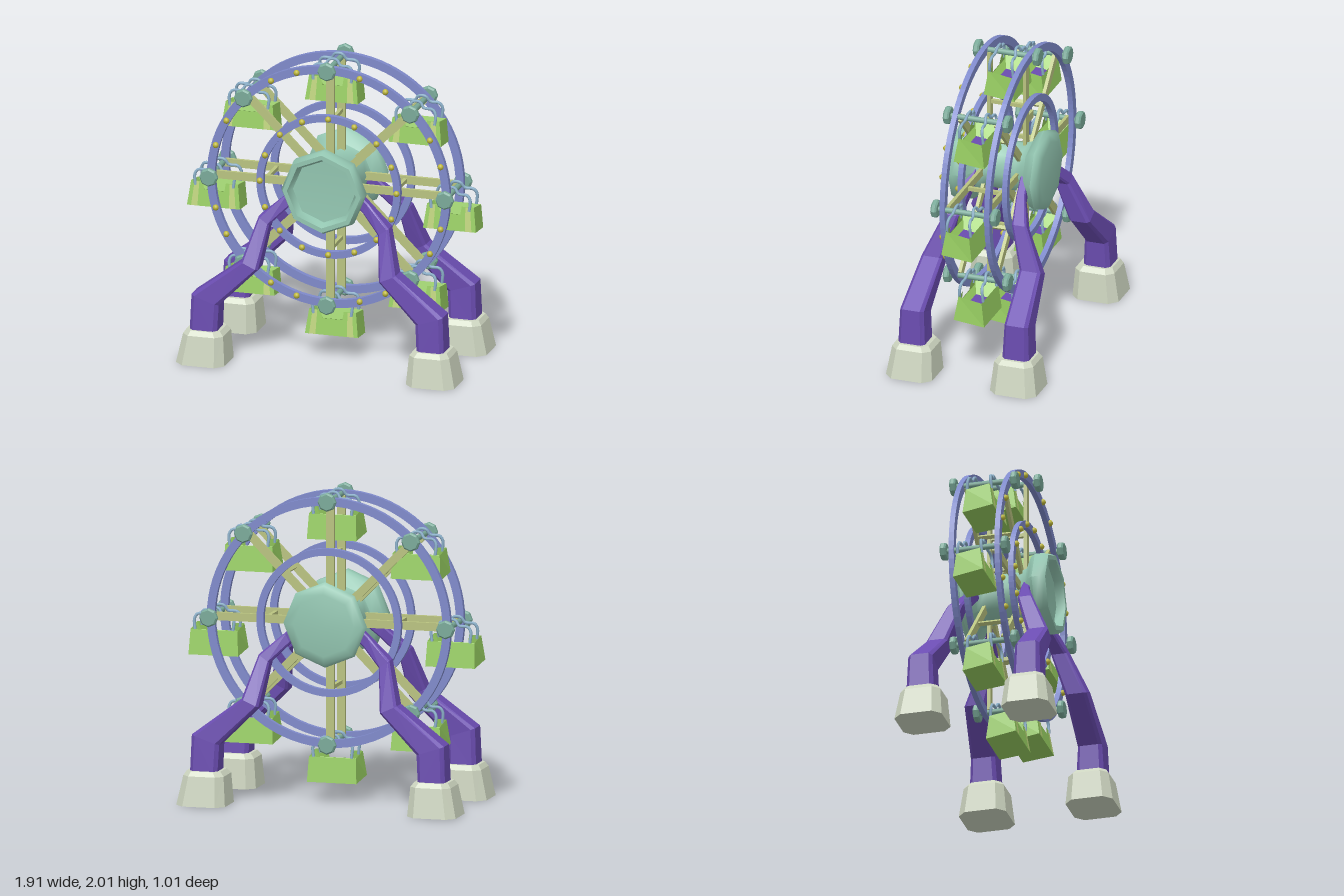
import * as THREE from 'three';
import { toCreasedNormals } from 'three/addons/utils/BufferGeometryUtils.js';

const V = (x, y, z) => new THREE.Vector3(x, y, z);
const CY = 1.165, R = 0.78;

function makeMaterials() {
  const colors = {
    ringBlue: 0x7f8acb, legPurple: 0x6a4cb0, hubTeal: 0x93c6b1, capTeal: 0x7aaa99, spokeOlive: 0xb9c380,
    bulbYellow: 0xbfb93a, footStone: 0xcdd5c0, hangerBlue: 0x8db2cc, cabinGreen: 0x96cc60, stripeLime: 0xbdd27c,
  };
  const m = {};
  for (const [name, color] of Object.entries(colors)) {
    m[name] = new THREE.MeshStandardMaterial({ color });
    m[name].name = name;
  }
  m.cabinGreen.side = m.stripeLime.side = m.legPurple.side = THREE.DoubleSide;
  return m;
}

function mesh(parent, name, geo, mat, x = 0, y = 0, z = 0) {
  const o = new THREE.Mesh(geo, mat);
  o.name = name;
  o.position.set(x, y, z);
  parent.add(o);
  return o;
}

// Flat-faced geometry from a list of triangles
function fromTriangles(tris) {
  const g = new THREE.BufferGeometry().setFromPoints(tris.flat());
  g.computeVertexNormals();
  return g;
}

// Closed loft through equal-length loops, turned outward by its signed volume
function loft(loops) {
  const tris = [], n = loops[0].length, last = loops.length - 1;
  for (let i = 0; i < last; i++) for (let j = 0; j < n; j++) {
    const k = (j + 1) % n, a = loops[i][j], b = loops[i][k], c = loops[i + 1][k], d = loops[i + 1][j];
    tris.push([a, b, c], [a, c, d]);
  }
  for (let j = 1; j < n - 1; j++) {
    tris.push([loops[0][0], loops[0][j + 1], loops[0][j]]);
    tris.push([loops[last][0], loops[last][j], loops[last][j + 1]]);
  }
  const volume = tris.reduce((s, [a, b, c]) => s + a.dot(b.clone().cross(c)), 0);
  return fromTriangles(volume < 0 ? tris.map(([a, b, c]) => [a, c, b]) : tris);
}

// Unit square with cut corners
const chamfered = c => [[c, 0], [1 - c, 0], [1, c], [1, 1 - c], [1 - c, 1], [c, 1], [0, 1 - c], [0, c]];

// Bent support leg: outer x, outer y, inner x, inner y, near z, far z
function legGeometry(sx, sz) {
  const rows = [
    [0.11, 1.24, 0.08, 1.16, 0.14, 0.19],
    [0.275, 1.095, 0.24, 1.03, 0.155, 0.215],
    [0.43, 0.96, 0.36, 0.91, 0.18, 0.28],
    [0.51, 0.69, 0.40, 0.64, 0.26, 0.40],
    [0.83, 0.45, 0.65, 0.39, 0.272, 0.43],
    [0.84, 0.20, 0.66, 0.20, 0.26, 0.44],
  ];
  return loft(rows.map(([ox, oy, ix, iy, z0, z1]) => chamfered(0.13).map(([u, w]) =>
    V(sx * (ix + (ox - ix) * u), iy + (oy - iy) * u, sz * (z0 + (z1 - z0) * w)))));
}

// Tapered stone foot: x range, z range, height
function footGeometry(sx, sz) {
  const rows = [
    [0.60, 0.92, 0.195, 0.505, 0], [0.615, 0.88, 0.212, 0.475, 0.19], [0.64, 0.86, 0.235, 0.455, 0.22],
  ];
  return loft(rows.map(([x0, x1, z0, z1, y]) => chamfered(0.17).map(([u, w]) =>
    V(sx * (x0 + (x1 - x0) * u), y, sz * (z0 + (z1 - z0) * w)))));
}

function ringGeometry(outer, inner) {
  const s = new THREE.Shape().absarc(0, 0, outer, 0, Math.PI * 2);
  s.holes.push(new THREE.Path().absarc(0, 0, inner, 0, Math.PI * 2, true));
  const g = new THREE.ExtrudeGeometry(s, { depth: 0.034, bevelEnabled: false, curveSegments: 40 });
  return g.translate(0, 0, -0.017);
}

// Hub: both discs, the waist between them and the front dish in one profile
function hubGeometry() {
  const profile = [
    [0, -0.29], [0.2, -0.288], [0.255, -0.275], [0.275, -0.245], [0.255, -0.205], [0.185, -0.165], [0.165, -0.1],
    [0.165, 0.1], [0.185, 0.16], [0.255, 0.2], [0.275, 0.23], [0.275, 0.28], [0.258, 0.315], [0.228, 0.315],
    [0.205, 0.26], [0, 0.25],
  ].map(p => new THREE.Vector2(...p));
  return toCreasedNormals(new THREE.LatheGeometry(profile, 8).rotateX(Math.PI / 2), 0.87);
}

// Bevelled eight-sided end cap along z
function capGeometry() {
  const profile = [[0, -0.02], [0.05, -0.02], [0.06, -0.01], [0.06, 0.01], [0.05, 0.02], [0, 0.02]];
  const g = new THREE.LatheGeometry(profile.map(p => new THREE.Vector2(...p)), 8).rotateX(Math.PI / 2);
  return toCreasedNormals(g, 0.4);
}

// Cabin surfaces, relative to its axle
function cabinGeometries() {
  const top = [V(-0.155, -0.075, 0.075), V(0.155, -0.075, 0.075), V(0.155, -0.1, -0.08), V(-0.155, -0.1, -0.08)];
  const low = [V(-0.175, -0.232, 0.1), V(0.175, -0.232, 0.1), V(0.163, -0.26, -0.1), V(-0.163, -0.26, -0.1)];
  const floor = [V(-0.1, -0.165, 0.05), V(0.1, -0.165, 0.05), V(0.1, -0.18, -0.055), V(-0.1, -0.18, -0.055)];
  const quad = (a, b, c, d) => [[a, d, c], [a, c, b]];
  const at = (i, u, v, lift = 0) => {
    const j = (i + 1) % 4;
    const p = top[i].clone().lerp(top[j], u).lerp(low[i].clone().lerp(low[j], u), v);
    p.z += lift;
    return p;
  };
  const panel = (uv, lift = 0) => quad(...uv.map(([u, v]) => at(0, u, v, lift)));
  const flip = uv => uv.map(([u, v]) => [1 - u, v]).reverse();
  const flipped = (uv, lift) => panel(flip(uv), lift).map(([a, b, c]) => [a, b, c]);
  const side = [[0, 0], [0.26, 0], [0.35, 1], [0, 1]];
  const door = [[0.29, 0.33], [0.71, 0.33], [0.65, 1], [0.35, 1]];
  const stripe = [[0.08, 0.01], [0.18, 0.01], [0.2, 0.99], [0.08, 0.99]];
  const green = [...panel(side), ...flipped(side), ...panel(door), ...quad(low[0], low[1], low[2], low[3]).map(([a, b, c]) => [a, c, b])];
  for (let i = 1; i < 4; i++) {
    const j = (i + 1) % 4;
    green.push(...quad(top[i], top[j], low[j], low[i]), ...quad(top[j], top[i], floor[i], floor[j]));
  }
  green.push(...quad(at(0, 1, 0.33, -0.004), at(0, 0, 0.33, -0.004), floor[0], floor[1]));
  return {
    green: fromTriangles(green),
    stripes: fromTriangles([...panel(stripe, 0.004), ...flipped(stripe, 0.004)]),
    floor: fromTriangles(quad(floor[0], floor[1], floor[2], floor[3])),
  };
}

// Bent hanger rod passing over the axle
function hangerGeometry(sz) {
  const half = [[0.125, -0.1, 0.08], [0.13, -0.03, 0.075], [0.11, 0, 0.07], [0.05, 0.005, 0.068], [0.025, 0.038, 0.06]];
  const pts = [...half.map(([x, y, z]) => V(-x, y, z * sz)), ...half.reverse().map(([x, y, z]) => V(x, y, z * sz))];
  return new THREE.TubeGeometry(new THREE.CatmullRomCurve3(pts, false, 'centripetal'), 28, 0.01, 6);
}

export function createModel() {
  const m = makeMaterials(), model = new THREE.Group();
  model.name = 'ferrisWheel';

  // Supports
  for (const sx of [-1, 1]) for (const sz of [-1, 1]) {
    mesh(model, 'leg', legGeometry(sx, sz), m.legPurple);
    mesh(model, 'foot', footGeometry(sx, sz), m.footStone);
  }

  // Wheel frame
  const wheel = new THREE.Group();
  wheel.name = 'wheel';
  wheel.position.y = CY;
  model.add(wheel);
  mesh(wheel, 'hub', hubGeometry(), m.hubTeal);
  const outerRing = ringGeometry(0.803, 0.75), innerRing = ringGeometry(0.476, 0.43);
  const spoke = new THREE.BoxGeometry(0.052, 0.64, 0.022);
  const crossbar = new THREE.BoxGeometry(0.024, 0.024, 0.24);
  for (const sz of [-1, 1]) {
    mesh(wheel, 'outerRing', outerRing, m.ringBlue, 0, 0, sz * 0.15);
    mesh(wheel, 'innerRing', innerRing, m.ringBlue, 0, 0, sz * 0.15);
  }

  // Bulbs on the front rings
  const bulb = new THREE.SphereGeometry(0.02, 10, 8);
  const addBulb = (r, a) => mesh(wheel, 'bulb', bulb, m.bulbYellow, r * Math.sin(a), r * Math.cos(a), 0.17);
  for (let i = 0; i < 16; i++) addBulb(0.452, i * Math.PI / 8);

  // Spokes, axles and cabins
  const axle = new THREE.CylinderGeometry(0.019, 0.019, 0.39, 8).rotateX(Math.PI / 2);
  const cap = capGeometry(), cabin = cabinGeometries(), hangers = [hangerGeometry(-1), hangerGeometry(1)];
  for (let i = 0; i < 8; i++) {
    const a = i * Math.PI / 4, s = Math.sin(a), c = Math.cos(a);
    for (const sz of [-1, 1]) {
      mesh(wheel, 'spoke', spoke, m.spokeOlive, s * 0.45, c * 0.45, sz * 0.12).rotation.z = -a;
    }
    mesh(wheel, 'crossbar', crossbar, m.spokeOlive, s * 0.425, c * 0.425, 0).rotation.z = -a;
    addBulb(0.772, a + Math.PI / 11.5);
    addBulb(0.772, a + Math.PI / 4 - Math.PI / 11.5);

    const car = new THREE.Group();
    car.name = 'cabin';
    car.position.set(s * R, c * R, 0);
    wheel.add(car);
    mesh(car, 'axle', axle, m.capTeal);
    for (const sz of [-1, 1]) mesh(car, 'axleCap', cap, m.capTeal, 0, 0, sz * 0.2);
    for (const h of hangers) mesh(car, 'hanger', h, m.hangerBlue);
    mesh(car, 'cabinBody', cabin.green, m.cabinGreen);
    mesh(car, 'cabinStripes', cabin.stripes, m.stripeLime);
    mesh(car, 'cabinFloor', cabin.floor, m.legPurple);
  }
  return model;
}
